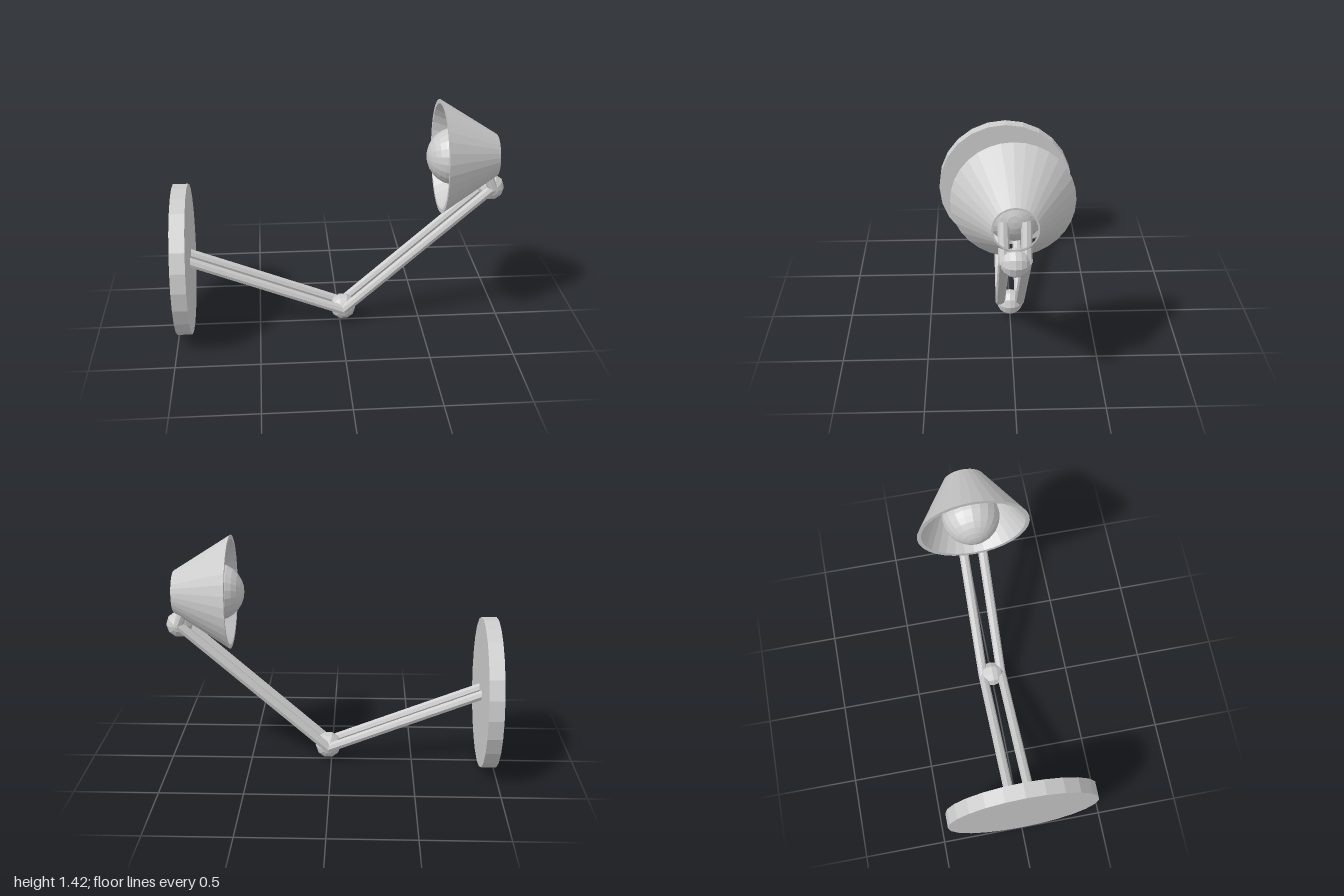
import * as THREE from 'three';

const material = new THREE.MeshStandardMaterial({ color: 0xcccccc, flatShading: true, side: THREE.DoubleSide });

export function createModel() {
  const group = new THREE.Group();
  const add = (name, geometry, x = 0, y = 0, z = 0) => {
    const mesh = new THREE.Mesh(geometry, material);
    mesh.name = name;
    mesh.position.set(x, y, z);
    group.add(mesh);
    return mesh;
  };

  // Wall plate: a disc facing along x
  add('wallPlate', new THREE.CylinderGeometry(0.46, 0.46, 0.09, 24).rotateZ(-Math.PI / 2), -0.955, 0.46);

  // Paired rods between joints, mirrored in z
  const addRods = (name, from, to) => {
    for (const z of [-0.06, 0.06]) {
      const a = new THREE.Vector3(from[0], from[1], z);
      const b = new THREE.Vector3(to[0], to[1], z);
      const dir = b.clone().sub(a);
      const mid = a.clone().add(b).multiplyScalar(0.5);
      const rod = add(name + (z > 0 ? 'Front' : 'Back'),
        new THREE.CylinderGeometry(0.03, 0.03, dir.length(), 8), mid.x, mid.y, z);
      rod.quaternion.setFromUnitVectors(new THREE.Vector3(0, 1, 0), dir.normalize());
    }
  };
  addRods('lowerArm', [-0.93, 0.47], [0.025, 0.095]);
  addRods('upperArm', [0.015, 0.095], [0.92, 0.895]);
  addRods('shadeBracket', [0.92, 0.88], [0.84, 1.08]);

  // Faceted ball joints
  for (const [name, x, y] of [['elbowJoint', 0.02, 0.095], ['headJoint', 0.917, 0.88]]) {
    add(name, new THREE.SphereGeometry(0.08, 10, 8).rotateX(Math.PI / 2), x, y);
  }

  // Open conical shade with a thin wall, wide mouth towards -x
  const profile = [[0.34, 0], [0.125, 0.34], [0.115, 0.34], [0.315, 0], [0.34, 0]]
    .map(([r, h]) => new THREE.Vector2(r, h));
  add('lampShade', new THREE.LatheGeometry(profile, 32).rotateZ(-Math.PI / 2), 0.6, 1.083);

  // Bulb
  add('bulb', new THREE.SphereGeometry(0.172, 20, 14).rotateZ(Math.PI / 2), 0.692, 1.083);

  return group;
}
